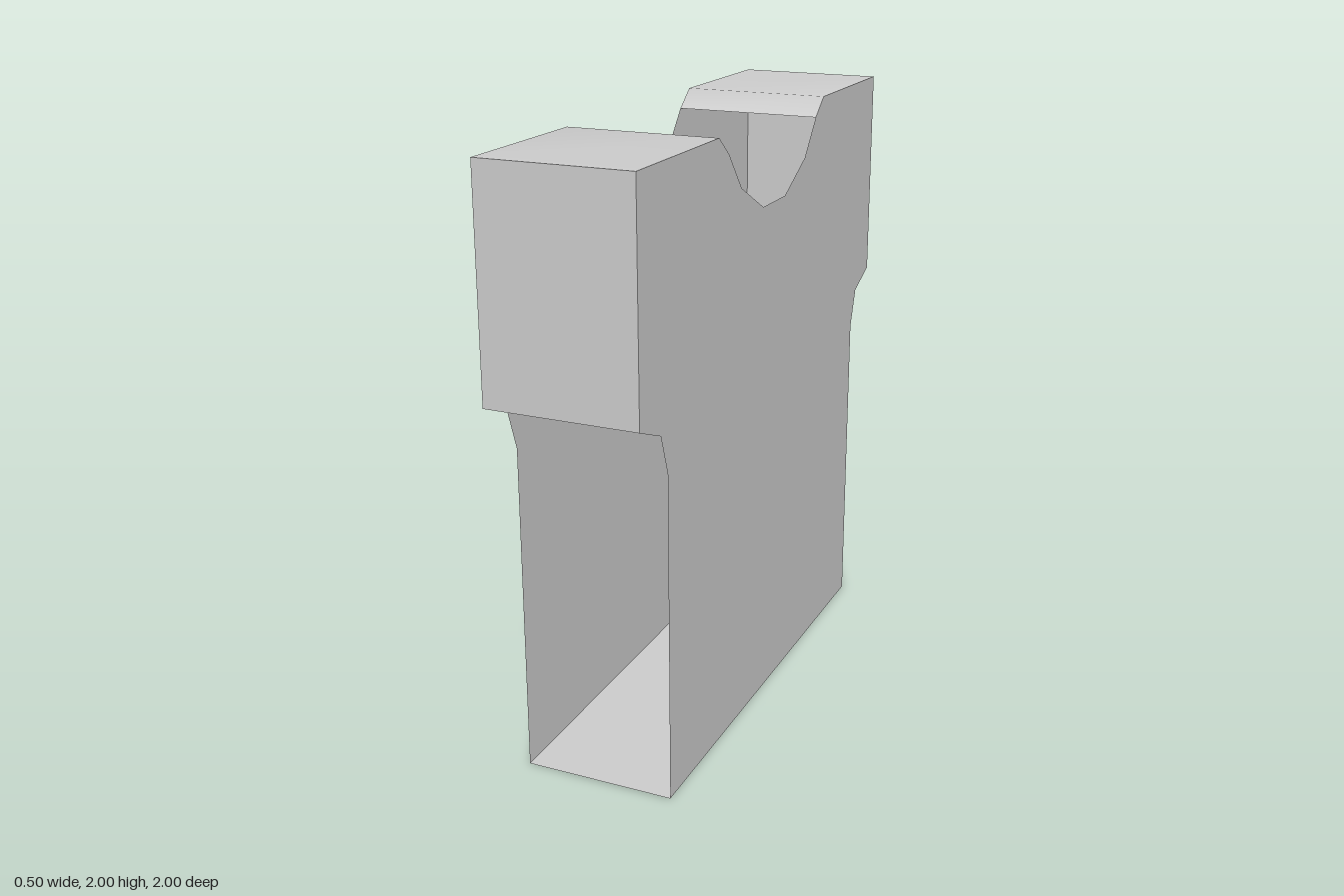
import * as THREE from 'three';

const HALF = 0.25; // half thickness in x

// Half outline of the shirt as [z, y], from the hem up to the neckline
const HALF_OUTLINE = [
  [0.82, 0], [0.82, 1.09], [0.865, 1.22], [1, 1.275], [1, 2],
  [0.45, 2], [0.375, 1.94], [0.275, 1.82], [0.095, 1.727],
];

// Band spanning the thickness, following a [z, y] path; smooth along the path
function band(path) {
  const pos = [], index = [];
  path.forEach(([z, y], i) => {
    pos.push(-HALF, y, z, HALF, y, z);
    if (i) {
      const a = 2 * i - 2;
      index.push(a, a + 1, a + 3, a, a + 3, a + 2);
    }
  });
  const geo = new THREE.BufferGeometry();
  geo.setAttribute('position', new THREE.Float32BufferAttribute(pos, 3));
  geo.setIndex(index);
  geo.computeVertexNormals();
  return geo;
}

export function createModel() {
  const group = new THREE.Group();
  const material = new THREE.MeshStandardMaterial({ color: 0xcccccc, side: THREE.DoubleSide });
  const add = (name, geometry) => {
    const mesh = new THREE.Mesh(geometry, material);
    mesh.name = name;
    group.add(mesh);
    return mesh;
  };

  // Two flat panels with the full shirt outline
  const outline = [
    ...HALF_OUTLINE,
    ...HALF_OUTLINE.map(([z, y]) => [-z, y]).reverse(),
  ].map(([z, y]) => new THREE.Vector2(z, y));
  for (const [name, s] of [['leftPanel', 1], ['rightPanel', -1]]) {
    const geo = new THREE.ShapeGeometry(new THREE.Shape(outline));
    geo.rotateY(s * Math.PI / 2).translate(s * HALF, 0, 0);
    add(name, geo);
  }

  // Closed hem; the body sides, underarms and neck stay open
  add('hem', band([[-0.82, 0], [0.82, 0]]));

  // Sleeve ends and shoulders, with the shoulder rolling into the neck
  for (const [side, turn] of [['front', 0], ['back', Math.PI]]) {
    add(side + 'SleeveEnd', band([[1, 1.275], [1, 2]])).rotation.y = turn;
    add(side + 'Shoulder', band([[1, 2], [0.45, 2], [0.375, 1.94]])).rotation.y = turn;
  }
  return group;
}
